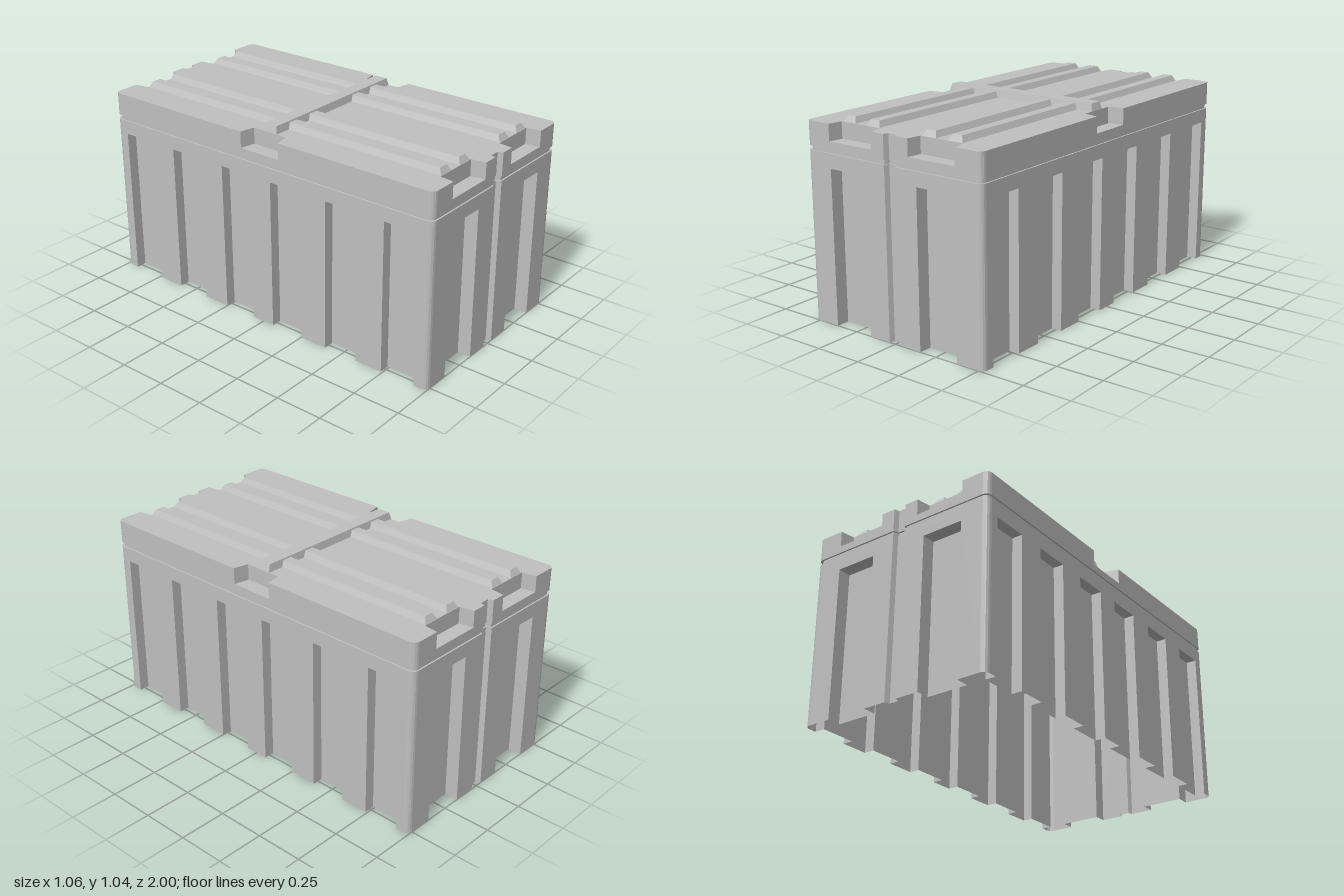
import * as THREE from 'three';

const W = 0.53, D = 1, R = 0.03;
const MIRRORS = [[1, 1], [-1, 1], [-1, -1], [1, -1]];

const grey = new THREE.MeshStandardMaterial({ color: 0xc0c0c0, side: THREE.DoubleSide });
grey.name = 'grey plastic';

// Recesses and notches of one quadrant as [x, z] points, in order from the side to the end
const sideRecesses = [[0.064, 0.252], [0.402, 0.59], [0.74, 0.928]].map(
  ([a, b]) => [[W, a], [W - 0.055, a], [W - 0.055, b], [W, b]]);
const endRecess = [[0.378, D], [0.378, D - 0.07], [0.157, D - 0.07], [0.157, D]];
const sideNotch = [[W - 0.08, 0.102], [W, 0.118]];
const endNotch = [[0.381, D], [0.37, D - 0.075], [0.122, D - 0.075], [0.111, D]];

// Full outline: rounded corner, end slot and optional cuts, mirrored to four quadrants
function outline(sideCuts = [], endCuts = [], inset = 0) {
  const w = W - inset, d = D - inset, s = inset / 2;
  const q = [...sideCuts];
  for (let i = 0; i <= 4; i++) {
    const a = (i / 4) * Math.PI / 2;
    q.push([w - R + R * Math.cos(a), d - R + R * Math.sin(a)]);
  }
  q.push(...endCuts, [0.035 + s, d], [0.026 + s, d - 0.026]);
  return MIRRORS.flatMap(([sx, sz], i) => {
    const pts = q.map(([x, z]) => new THREE.Vector2(x * sx, z * sz));
    return i % 2 ? pts.reverse() : pts;
  });
}

// Upright wall following a closed outline
function wall(pts, y0, y1) {
  const pos = [];
  pts.forEach((a, i) => {
    const b = pts[(i + 1) % pts.length];
    pos.push(a.x, y0, a.y, a.x, y1, a.y, b.x, y1, b.y);
    pos.push(a.x, y0, a.y, b.x, y1, b.y, b.x, y0, b.y);
  });
  const g = new THREE.BufferGeometry();
  g.setAttribute('position', new THREE.Float32BufferAttribute(pos, 3));
  g.computeVertexNormals();
  return g;
}

// Level face at height y, facing up or down
function level(pts, y, up, hole) {
  const shape = new THREE.Shape(pts);
  if (hole) shape.holes.push(new THREE.Path(hole));
  return new THREE.ShapeGeometry(shape).rotateX(up ? -Math.PI / 2 : Math.PI / 2).translate(0, y, 0);
}

// Bar with sloping sides and ends
function bar(w, d, h, slopeX, slopeZ) {
  const g = new THREE.BoxGeometry(w, h, d).toNonIndexed();
  const p = g.attributes.position;
  for (let i = 0; i < p.count; i++) {
    if (p.getY(i) > 0) {
      p.setX(i, p.getX(i) - Math.sign(p.getX(i)) * slopeX);
      p.setZ(i, p.getZ(i) - Math.sign(p.getZ(i)) * slopeZ);
    }
  }
  g.computeVertexNormals();
  return g.translate(0, h / 2, 0);
}

export function createModel() {
  const model = new THREE.Group();
  model.name = 'storageCrate';
  const part = (name) => {
    const g = new THREE.Group();
    g.name = name;
    model.add(g);
    return g;
  };
  const add = (parent, name, geometry) => {
    const m = new THREE.Mesh(geometry, grey);
    m.name = name;
    parent.add(m);
    return m;
  };
  const mirrored = (poly, [sx, sz]) => poly.map(([x, z]) => new THREE.Vector2(x * sx, z * sz));

  const plain = outline();
  const groove = outline([], [], 0.008);

  // Hollow body, open at the bottom, with upright recesses
  const body = part('body');
  add(body, 'panelledWall', wall(outline(sideRecesses.flat(), endRecess), 0, 0.791));
  add(body, 'upperWall', wall(plain, 0.791, 0.864));
  for (const m of MIRRORS) {
    for (const r of [...sideRecesses, endRecess]) {
      add(body, 'recessTop', level(mirrored(r, m), 0.791, false));
    }
  }

  // Groove between body and lid
  const seam = part('seam');
  add(seam, 'bodyLedge', level(plain, 0.864, true, groove));
  add(seam, 'grooveWall', wall(groove, 0.864, 0.886));
  add(seam, 'lidLedge', level(plain, 0.886, false, groove));

  // Lid with hand notches on all four sides
  const lid = part('lid');
  const notched = outline(sideNotch, endNotch);
  add(lid, 'lidRim', wall(plain, 0.886, 0.923));
  add(lid, 'notchedRim', wall(notched, 0.923, 1.007));
  add(lid, 'lidTop', level(notched, 1.007, true));
  const sideFloor = [[W, 0], [W - 0.08, 0], ...sideNotch];
  for (const m of MIRRORS) {
    add(lid, 'sideNotchFloor', level(mirrored(sideFloor, m), 0.923, true));
    add(lid, 'endNotchFloor', level(mirrored(endNotch, m), 0.923, true));
  }

  // Raised ribs along the lid and one across it
  const ribs = part('ribs');
  for (const x of [-0.322, -0.171, 0.171, 0.322]) {
    add(ribs, 'longRib', bar(0.081, 1.845, 0.03, 0.015, 0.017)).position.set(x, 1.007, 0);
  }
  add(ribs, 'crossRib', bar(0.904, 0.088, 0.038, 0.011, 0.008)).position.y = 1.007;

  return model;
}
